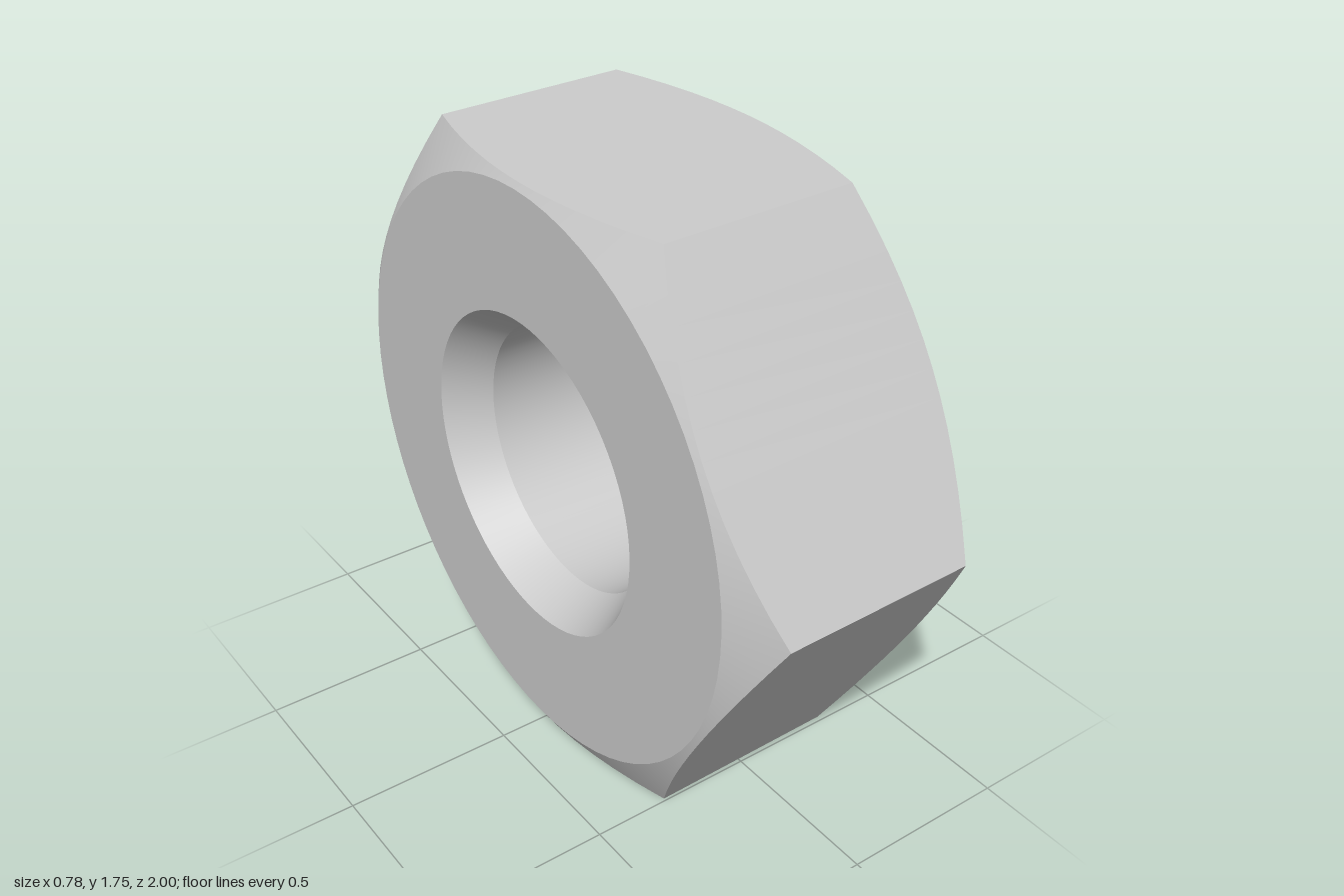
import * as THREE from 'three';

const HALF = 0.375;        // half thickness along x
const FACE_R = 0.848;      // round end face
const APOTHEM = Math.sqrt(3) / 2;
const BORE_R = 0.395, SINK_R = 0.472, SINK_DEPTH = 0.13;
const SIDE = Math.PI / 3;
const STEPS = 12;          // segments per hexagon side

// Hexagon radius at an angle, and the height where the 30 degree chamfer cone meets it
const hexRadius = (a) => APOTHEM / Math.cos(a - SIDE * Math.round(a / SIDE));
const rim = (sign) => (a) => {
  const r = hexRadius(a);
  return [sign * (HALF - (r - FACE_R) * Math.tan(Math.PI / 6)), r];
};
const ring = (x, r) => () => [x, r];

// Surface between two rims, each giving [x, radius] at an angle round the x axis
function band(from, to, start = 0, sides = 6) {
  const pos = [], index = [], n = sides * STEPS;
  for (let i = 0; i <= n; i++) {
    const a = start + (i / STEPS) * SIDE;
    for (const edge of [from, to]) {
      const [x, r] = edge(a);
      pos.push(x, r * Math.cos(a), r * Math.sin(a));
    }
    if (i < n) {
      const p = i * 2;
      index.push(p, p + 1, p + 2, p + 1, p + 3, p + 2);
    }
  }
  const g = new THREE.BufferGeometry();
  g.setAttribute('position', new THREE.Float32BufferAttribute(pos, 3));
  g.setIndex(index);
  g.computeVertexNormals();
  return g;
}

export function createModel() {
  const material = new THREE.MeshStandardMaterial({ color: 0xcccccc });
  const nut = new THREE.Group();
  nut.name = 'hexNut';
  const add = (name, geometry) => {
    const mesh = new THREE.Mesh(geometry, material);
    mesh.name = name;
    nut.add(mesh);
  };

  // Six wrench flats with curved edges
  for (let k = 0; k < 6; k++) {
    add('wrenchFlat' + (k + 1), band(rim(1), rim(-1), (k - 0.5) * SIDE, 1));
  }

  // Each end: conical chamfer, flat face and countersink
  for (const s of [1, -1]) {
    const end = s > 0 ? 'left' : 'right';
    const profile = [rim(s), ring(s * HALF, FACE_R), ring(s * HALF, SINK_R),
      ring(s * (HALF - SINK_DEPTH), BORE_R)];
    ['Chamfer', 'Face', 'Countersink'].forEach((part, i) => {
      const pair = [profile[i], profile[i + 1]];
      if (s > 0) pair.reverse();
      add(end + part, band(...pair, SIDE / 2));
    });
  }

  // Smooth bore
  const b = HALF - SINK_DEPTH;
  add('bore', band(ring(-b, BORE_R), ring(b, BORE_R)));

  // The nut leans very slightly as it stands
  nut.rotation.set(0.0095, 0, 0.0165);
  const model = new THREE.Group();
  model.name = 'nut';
  model.add(nut);
  model.updateMatrixWorld(true);
  nut.position.y = -new THREE.Box3().setFromObject(model, true).min.y;
  return model;
}
